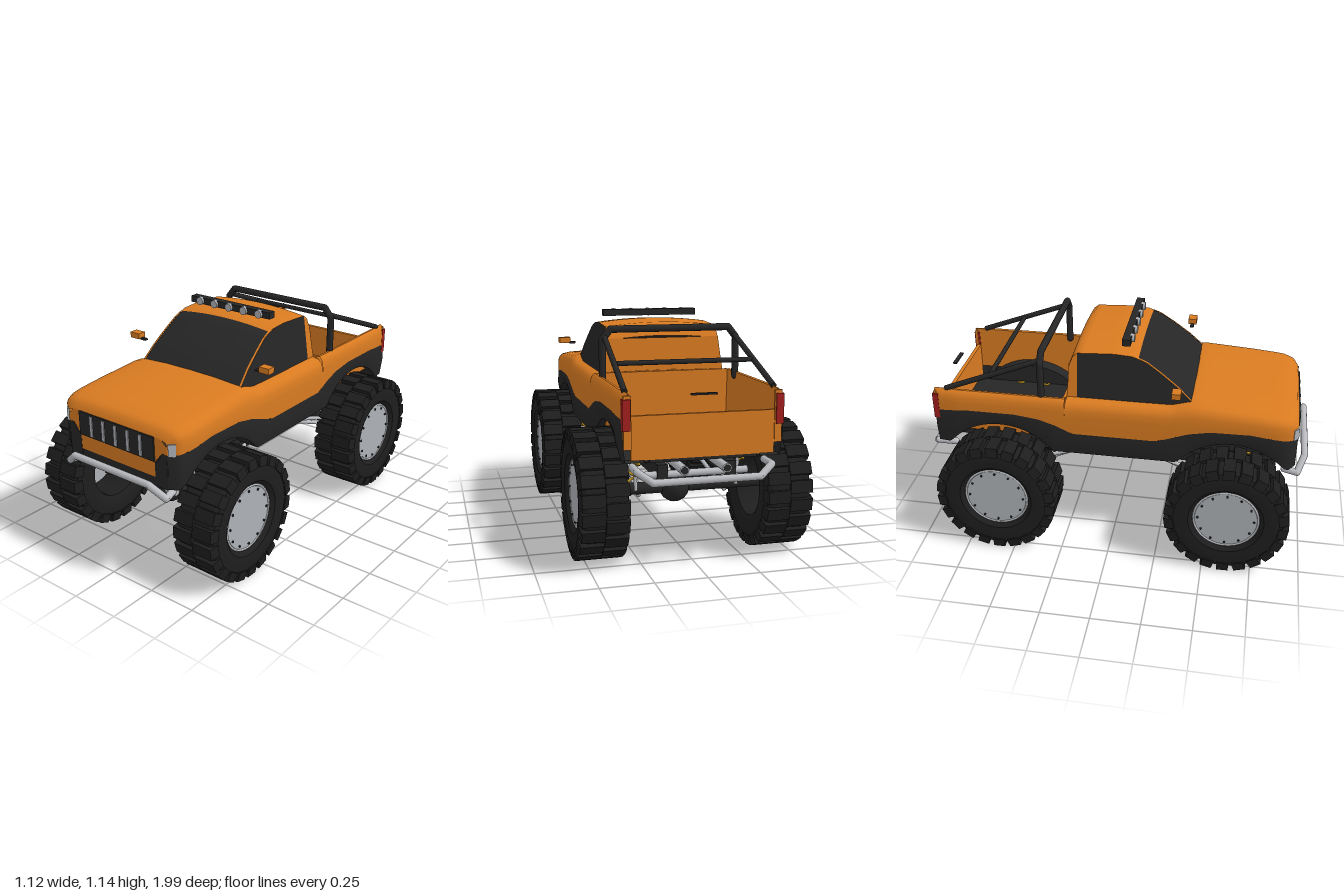
import * as THREE from 'three';
import { toCreasedNormals } from 'three/addons/utils/BufferGeometryUtils.js';

const V = (x, y, z) => new THREE.Vector3(x, y, z);
const paint = (name, color) => {
  const m = new THREE.MeshStandardMaterial({ color, side: THREE.DoubleSide });
  m.name = name;
  return m;
};

// Linear interpolation in a list of [key, value], keys ascending
function table(list, k) {
  if (k <= list[0][0]) return list[0][1];
  for (let i = 1; i < list.length; i++) {
    const [a, va] = list[i - 1], [b, vb] = list[i];
    if (k <= b) return va + (vb - va) * (k - a) / (b - a);
  }
  return list[list.length - 1][1];
}
const range = (a, b, n) => Array.from({ length: n + 1 }, (_, i) => a + (b - a) * i / n);

// Surface through equal-length rows of [x, y, z]
function loft(rows, crease = 0.6) {
  const n = rows[0].length, index = [];
  for (let i = 0; i < rows.length - 1; i++) for (let j = 0; j < n - 1; j++) {
    const a = i * n + j, b = a + n;
    index.push(a, b, a + 1, b, b + 1, a + 1);
  }
  const g = new THREE.BufferGeometry();
  g.setAttribute('position', new THREE.Float32BufferAttribute(rows.flat(2), 3));
  g.setIndex(index);
  return toCreasedNormals(g, crease);
}

// Body rules along z: half width, top height, trim line, wheel-arch bottom
const AXLES = [0.61, -0.58], R = 0.315;
const W = z => table([[-0.92, 0.372], [-0.8, 0.385], [0.8, 0.385], [0.86, 0.378], [0.9, 0.36], [0.93, 0.315]], z);
const T = z => table([[-0.23, 0.845], [0.3, 0.85], [0.4, 0.88], [0.67, 0.858], [0.85, 0.838], [0.9, 0.822], [0.92, 0.8], [0.93, 0.777]], z);
const L = z => table([[-0.92, 0.72], [-0.75, 0.737], [-0.5, 0.737], [-0.37, 0.72], [-0.28, 0.69], [-0.2, 0.652], [0.23, 0.652],
  [0.31, 0.68], [0.39, 0.71], [0.5, 0.732], [0.7, 0.735], [0.93, 0.705]], z);
const B = z => AXLES.reduce((y, c) => Math.abs(z - c) < 0.345 ? Math.max(y, 0.32 + Math.sqrt(0.345 ** 2 - (z - c) ** 2)) : y, 0.53);
// Cab heights along z (centre line) and side lean
const H = z => table([[-0.23, 0.845], [-0.222, 1.02], [-0.205, 1.065], [-0.18, 1.087], [0, 1.096], [0.096, 1.09], [0.166, 1.064], [0.246, 1.008], [0.326, 0.946], [0.4, 0.875]], z);
const E = z => Math.max(0.845, H(z) - 0.02);
const cabX = y => 0.322 - 0.032 * (y - 0.84) / 0.23;

export function createModel() {
  const truck = new THREE.Group();
  const orange = paint('body orange', 0xd97b21), black = paint('trim black', 0x262626), rubber = paint('tyre rubber', 0x1e1e1e),
    metal = paint('bright metal', 0xb9bbbf), hubGrey = paint('hub grey', 0xaeb2b7), gold = paint('spring gold', 0xb8901a),
    red = paint('tail lamp red', 0xa01f1c);

  const add = (name, geo, mat, parent = truck) => {
    const m = new THREE.Mesh(geo, mat);
    m.name = name;
    parent.add(m);
    return m;
  };
  const box = (name, mat, w, h, d, x, y, z) => {
    const m = add(name, new THREE.BoxGeometry(w, h, d), mat);
    m.position.set(x, y, z);
    return m;
  };
  const rod = (name, mat, a, b, r, parent = truck) => {
    const m = add(name, new THREE.CylinderGeometry(r, r, a.distanceTo(b), 12), mat, parent);
    m.position.copy(a).lerp(b, 0.5);
    m.quaternion.setFromUnitVectors(V(0, 1, 0), b.clone().sub(a).normalize());
    return m;
  };
  // Bent pipe with rounded joints
  const pipe = (name, mat, pts, r) => {
    const g = new THREE.Group();
    g.name = name;
    truck.add(g);
    pts.forEach((p, i) => {
      if (i) rod(name + 'Run', mat, pts[i - 1], p, r, g);
      add(name + 'Joint', new THREE.SphereGeometry(r, 12, 8), mat, g).position.copy(p);
    });
  };
  const plate = (name, mat, pts, z) =>
    add(name, new THREE.ShapeGeometry(new THREE.Shape(pts.map(p => new THREE.Vector2(...p)))), mat).position.z = z;

  // Hood and cab deck
  const crown = [[1, 0], [0.995, 0.4], [0.97, 0.65], [0.92, 0.8], [0.8, 0.9], [0.4, 0.98], [0, 1]];
  const deckZ = [...range(-0.235, 0.3, 14), ...range(0.34, 0.85, 12), 0.88, 0.9, 0.91, 0.92, 0.93];
  add('hoodAndDeck', loft(deckZ.map(z => {
    const half = crown.map(([fx, fy]) => [W(z) * fx, 0.745 + (T(z) - 0.745) * fy, z]);
    half.unshift([W(z), L(z), z]);
    return [...half, ...half.slice(0, -1).reverse().map(([x, y, q]) => [-x, y, q])];
  }), 0.9), orange);

  const bodyZ = [...range(-0.92, 0.82, 87), 0.84, 0.86, 0.88, 0.9, 0.915, 0.93];
  for (const s of [1, -1]) {
    // Bed wall, outside over the rail to the inside
    add('bedWall', loft(range(-0.92, -0.235, 24).map(z => [[W(z), L(z)], [W(z), 0.775], [W(z) - 0.003, 0.805], [W(z) - 0.012, 0.83],
      [W(z) - 0.025, 0.84], [0.345, 0.838], [0.34, 0.6]].map(([x, y]) => [s * x, y, z]))), orange);
    // Lower trim with wheel arch and liner
    add('lowerTrim', loft(bodyZ.map(z => [[W(z), L(z)], [W(z) + 0.003, (L(z) + B(z)) / 2], [W(z) - 0.01, B(z)], [W(z) - 0.12, B(z)],
      [W(z) - 0.12, 0.54]].map(([x, y]) => [s * x, y, z]))), black);
    // Rear corner and lamp
    box('rearCorner', orange, 0.035, 0.24, 0.012, s * 0.352, 0.71, -0.914);
    box('tailLamp', red, 0.036, 0.14, 0.03, s * 0.358, 0.745, -0.912);
    // Front corner and headlamp
    plate('frontCorner', black, [[0.24, 0.53], [0.24, 0.65], [0.255, 0.655], [0.285, 0.705], [0.315, 0.705], [0.315, 0.53]].map(([x, y]) => [s * x, y]), 0.93);
    box('headlamp', hubGrey, 0.036, 0.06, 0.012, s * 0.334, 0.732, 0.917).rotation.y = s * 0.75;
    // Door mirror
    box('mirror', orange, 0.06, 0.03, 0.045, s * 0.42, 0.955, 0.33);
    box('mirrorArm', black, 0.035, 0.01, 0.02, s * 0.376, 0.94, 0.33);

    // Cab sides: window, front pillar, rear pillar
    const side = z => range(0.835, E(z), 4).map(y => [s * cabX(y), y, z]);
    add('sideWindow', loft(range(-0.18, 0.395, 24).map(side)), black);
    add('rearPillar', loft([-0.232, -0.222, -0.205, -0.18].map(side)), orange);
    add('frontPillar', loft(range(0.125, 0.395, 12).map(z => [1, 0.965].map(f => [s * f * cabX(E(z)), E(z) + (1 - f * f) * 0.02 + 0.001, z]))), orange);

    // Frame rail, exhaust and suspension arms
    box('frameRail', black, 0.05, 0.07, 1.66, s * 0.165, 0.455, 0.01);
    rod('exhaust', metal, V(s * 0.1, 0.49, -0.95), V(s * 0.1, 0.49, -0.72), 0.022);
    rod('exhaustEnd', black, V(s * 0.1, 0.49, -0.72), V(s * 0.1, 0.49, -0.6), 0.025);
    rod('exhaustMouth', black, V(s * 0.1, 0.49, -0.952), V(s * 0.1, 0.49, -0.949), 0.017);
  }

  // Roof, windscreen and cab back
  const across = (z, f) => range(-f, f, 12).map(t => [t * cabX(E(z)), E(z) + (1 - t * t) * 0.02, z]);
  add('roof', loft([-0.222, -0.205, -0.18, ...range(-0.15, 0.125, 10)].map(z => across(z, 1)), 0.9), orange);
  add('windscreen', loft([0.125, 0.145, 0.166, ...range(0.19, 0.4, 10)].map(z => across(z, 0.965)), 0.9), black);
  add('cabBack', loft([0.84, 0.93, 1.01].map((y, i) => range(-1, 1, 4).map(t => [t * cabX(y), y, -0.231 + i * 0.004]))), orange);

  // Front face, grille and slats
  plate('frontPanel', orange, [[-0.24, 0.575], [0.24, 0.575], [0.24, 0.65], [0.285, 0.705], [0.315, 0.705], [0.315, 0.745], [0.28, 0.777],
    [-0.28, 0.777], [-0.315, 0.745], [-0.315, 0.705], [-0.285, 0.705], [-0.24, 0.65]], 0.929);
  box('lowerValance', black, 0.48, 0.045, 0.02, 0, 0.553, 0.918);
  box('grille', black, 0.48, 0.122, 0.008, 0, 0.715, 0.932);
  for (let i = -2; i <= 2; i++) box('grilleSlat', hubGrey, 0.018, 0.105, 0.008, i * 0.079, 0.713, 0.936);

  // Underbody, bed floor, bed front and tailgate
  box('underbody', black, 0.54, 0.03, 1.82, 0, 0.54, 0);
  box('engineBay', black, 0.5, 0.16, 1.1, 0, 0.62, 0.33);
  box('sills', black, 0.74, 0.02, 0.45, 0, 0.54, 0.01);
  box('bedFront', orange, 0.69, 0.29, 0.015, 0, 0.695, -0.24);
  box('tailgate', orange, 0.67, 0.2, 0.02, 0, 0.64, -0.905);
  box('tailgateHandle', black, 0.12, 0.008, 0.02, 0, 0.825, -0.91);

  // Roll cage
  const hoop = [[0.345, 0.82], [0.345, 1.02], [0.305, 1.07]];
  pipe('rollHoop', black, [...hoop, ...hoop.slice().reverse().map(([x, y]) => [-x, y])].map(([x, y]) => V(x, y, -0.36)), 0.018);
  for (const s of [1, -1]) rod('cageStay', black, V(s * 0.335, 1.035, -0.36), V(s * 0.35, 0.84, -0.86), 0.014);
  rod('cageCrossbar', black, V(-0.34, 0.934, -0.62), V(0.34, 0.934, -0.62), 0.012);

  // Roof light bar
  box('lightBar', black, 0.51, 0.034, 0.042, 0, 1.123, 0.058);
  for (let i = -2; i <= 2; i++) rod('spotlight', hubGrey, V(i * 0.095, 1.123, 0.07), V(i * 0.095, 1.123, 0.092), 0.021);

  // Tube bumpers
  const bumper = (name, pts) => pipe(name, metal, [...pts, ...pts.slice().reverse().map(([x, y, z]) => [-x, y, z])].map(p => V(...p)), 0.018);
  bumper('frontBumper', [[0.3, 0.5, 0.88], [0.315, 0.495, 0.945], [0.24, 0.555, 0.978]]);
  bumper('rearBumper', [[0.315, 0.495, -0.85], [0.315, 0.495, -0.945], [0.25, 0.45, -0.978]]);

  // Axles, springs and links
  class Coil extends THREE.Curve {
    getPoint(t, p = V(0, 0, 0)) {
      const a = t * Math.PI * 2 * 3.5;
      return p.set(Math.cos(a) * 0.027, t * 0.2, Math.sin(a) * 0.027);
    }
  }
  const coil = new THREE.TubeGeometry(new Coil(), 84, 0.0065, 6);
  for (const c of AXLES) {
    const f = Math.sign(c);
    rod('axle', black, V(-0.43, 0.32, c), V(0.43, 0.32, c), 0.03);
    add('differential', new THREE.SphereGeometry(0.076, 10, 8), black).position.set(0.04, 0.32, c);
    rod('frameCrossbar', metal, V(-0.25, 0.44, f * 0.8), V(0.25, 0.44, f * 0.8), 0.018);
    for (const s of [1, -1]) {
      rod('trailingArm', metal, V(s * 0.165, 0.425, f * 0.2), V(s * 0.22, 0.285, c), 0.011);
      rod('trailingArm', metal, V(s * 0.195, 0.44, f * 0.2), V(s * 0.24, 0.33, c), 0.011);
      for (const d of [0.075, -0.075]) {
        add('spring', coil, gold).position.set(s * 0.26, 0.37, c + d);
        rod('shock', metal, V(s * 0.25, 0.33, c + d), V(s * 0.262, 0.55, c + d), 0.009);
      }
    }
  }

  // Wheels: tyre, two staggered tread rows, hub and bolts (axis along local y, outside is +y)
  const profile = [[0.165, -0.1], [0.18, -0.108], [0.25, -0.115], [0.285, -0.105], [0.296, -0.085], [0.296, 0.085], [0.285, 0.105],
    [0.25, 0.115], [0.19, 0.108], [0.17, 0.09], [0.165, 0.07], [0.165, -0.1]].map(p => new THREE.Vector2(...p));
  const tyre = toCreasedNormals(new THREE.LatheGeometry(profile, 44), 0.5);
  const lug = new THREE.BoxGeometry(0.06, 0.118, 0.05);
  const lp = lug.attributes.position;
  for (let i = 0; i < lp.count; i++) if (lp.getZ(i) > 0 && lp.getY(i) > 0) lp.setY(i, 0.05);
  lug.computeVertexNormals();
  const hub = new THREE.CylinderGeometry(0.157, 0.157, 0.012, 40), bolt = new THREE.CylinderGeometry(0.006, 0.006, 0.012, 6);
  const ring = new THREE.TorusGeometry(0.163, 0.006, 6, 40).rotateX(Math.PI / 2), lugs = 22;
  for (const c of AXLES) for (const s of [1, -1]) {
    const wheel = new THREE.Group();
    wheel.name = 'wheel';
    add('tyre', tyre, rubber, wheel);
    add('hub', hub, hubGrey, wheel).position.y = 0.082;
    add('rimRing', ring, metal, wheel).position.y = 0.086;
    for (let i = 0; i < lugs * 2; i++) {
      const out = i % 2 ? 1 : -1, pivot = new THREE.Group();
      pivot.name = 'treadBlock';
      pivot.rotation.y = i * Math.PI / lugs;
      const m = add('lug', lug, rubber, pivot);
      m.position.set(0, out * 0.06, R - 0.027);
      if (out < 0) m.rotation.z = Math.PI;
      wheel.add(pivot);
    }
    for (let i = 0; i < 12; i++) {
      const a = i * Math.PI / 6;
      add('bolt', bolt, black, wheel).position.set(Math.cos(a) * 0.142, 0.088, Math.sin(a) * 0.142);
    }
    wheel.position.set(s * 0.44, R, c);
    wheel.rotation.z = -s * Math.PI / 2;
    truck.add(wheel);
  }
  return truck;
}
